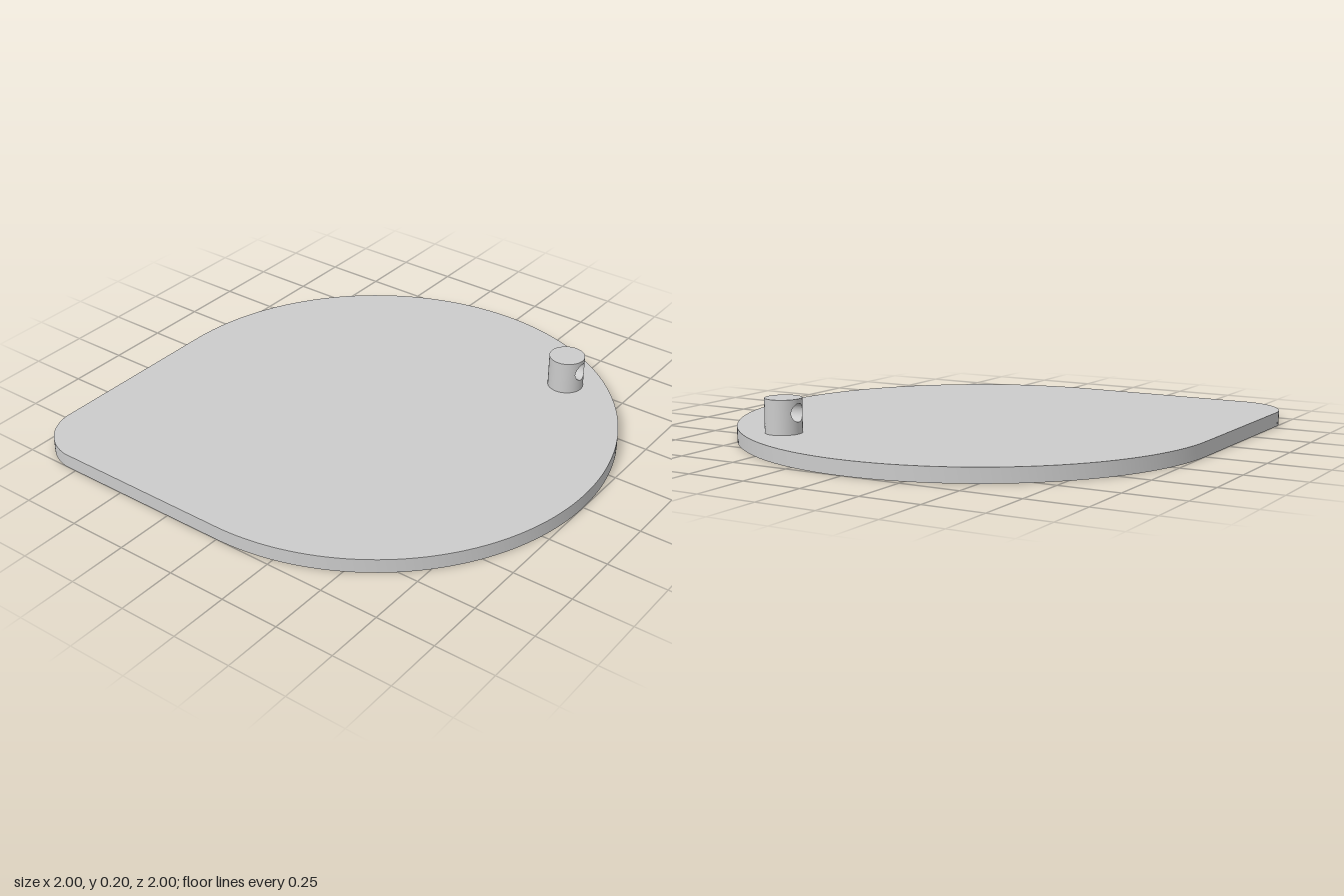
import * as THREE from 'three';
import { toCreasedNormals } from 'three/addons/utils/BufferGeometryUtils.js';
import { ParametricGeometry } from 'three/addons/geometries/ParametricGeometry.js';

const PLATE = 0.06;                       // plate thickness
const R = 0.075, TOP = 0.2;               // post radius and top height
const BORE = 0.037, BORE_Y = 0.145;       // cross hole through the post

export function createModel() {
  const model = new THREE.Group();
  const material = new THREE.MeshStandardMaterial({ color: 0xcccccc });
  const add = (parent, name, geometry) => {
    const mesh = new THREE.Mesh(geometry, material);
    mesh.name = name;
    parent.add(mesh);
    return mesh;
  };

  // Teardrop plate: a disc drawn out to one rounded corner at the back
  const outline = new THREE.Shape();
  outline.moveTo(0, 1);
  outline.lineTo(-0.8, 1);
  outline.absarc(-0.772, 0.772, 0.23, Math.atan2(0.228, -0.028), Math.atan2(0.028, -0.228), false);
  outline.lineTo(-1, 0);
  outline.absarc(0, 0, 1, Math.PI, Math.PI * 2.5, false);
  const plate = new THREE.ExtrudeGeometry(outline, { depth: PLATE, bevelEnabled: false, curveSegments: 72 });
  plate.rotateX(-Math.PI / 2);
  add(model, 'plate', toCreasedNormals(plate, Math.PI / 7));

  // Post with a hole drilled through it from front to back
  const post = new THREE.Group();
  post.name = 'post';
  post.position.set(0.655, 0, 0.52);
  model.add(post);

  // Half of the post wall, spread from the hole rim to the wall's edges
  const wall = new ParametricGeometry((u, v, target) => {
    const a = -u * Math.PI * 2, c = Math.cos(a), s = Math.sin(a);
    const k = 1 / Math.max(Math.abs(c), Math.abs(s));
    const theta = THREE.MathUtils.lerp(Math.asin(BORE * c / R), c * k * Math.PI / 2, v);
    const edgeY = (PLATE + TOP) / 2 + s * k * (TOP - PLATE) / 2;
    const y = THREE.MathUtils.lerp(BORE_Y + BORE * s, edgeY, v);
    target.set(R * Math.sin(theta), y, R * Math.cos(theta));
  }, 96, 10);
  add(post, 'postWallFront', wall);
  add(post, 'postWallBack', wall).rotation.y = Math.PI;

  // Inside of the hole, ending on the curved wall
  add(post, 'postHole', new ParametricGeometry((u, v, target) => {
    const a = u * Math.PI * 2, x = BORE * Math.cos(a);
    target.set(x, BORE_Y + BORE * Math.sin(a), Math.sqrt(R * R - x * x) * (1 - 2 * v));
  }, 96, 4));

  const cap = add(post, 'postTop', new THREE.CircleGeometry(R, 64));
  cap.rotation.x = -Math.PI / 2;
  cap.position.y = TOP;

  return model;
}
